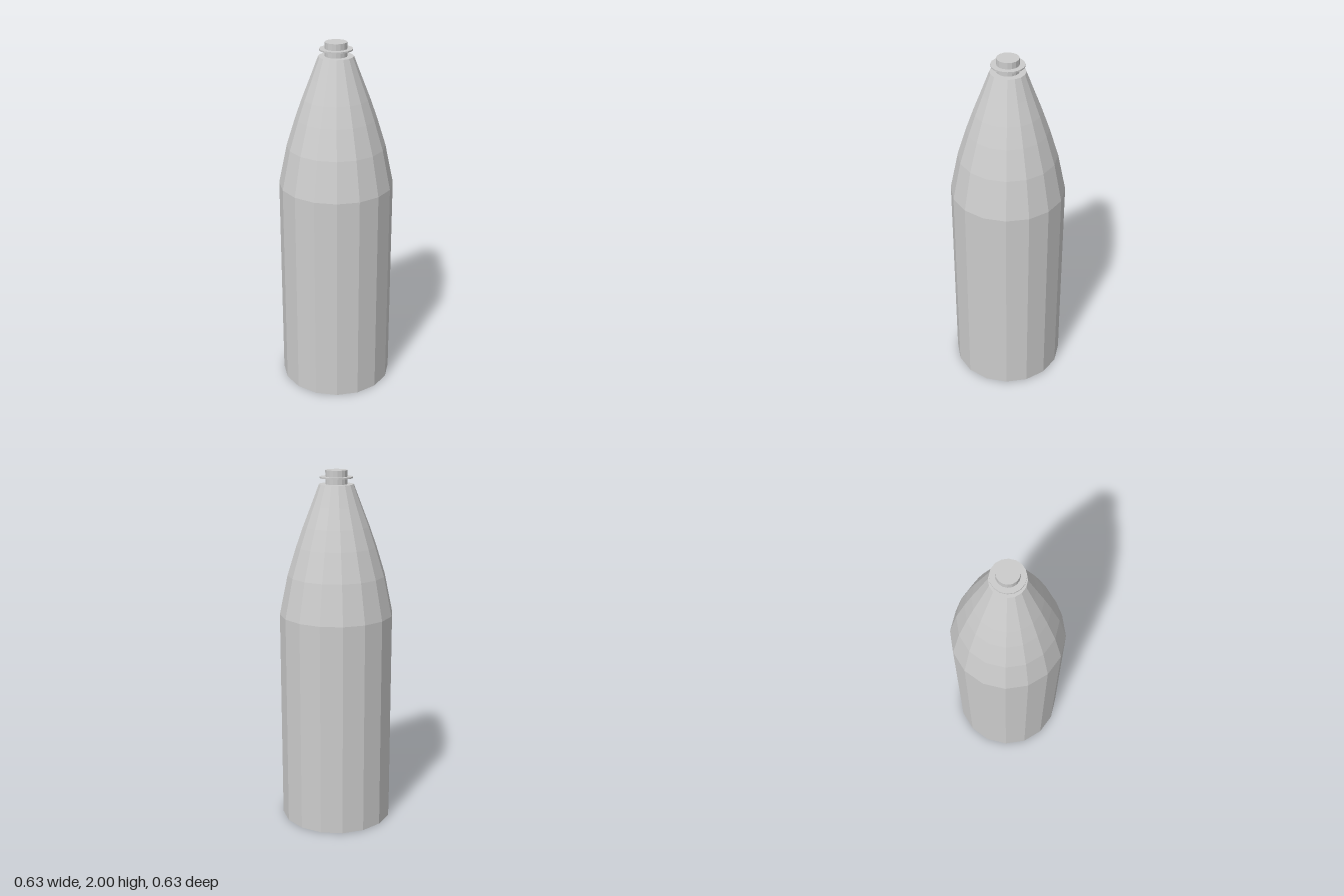
import * as THREE from 'three';

const SIDES = 16;
const grey = new THREE.MeshStandardMaterial({ color: 0xcccccc, flatShading: true });

// Faceted turned part from [radius, height] pairs, listed bottom to top
function turned(name, profile) {
  const points = profile.map(([r, y]) => new THREE.Vector2(r, y));
  const mesh = new THREE.Mesh(new THREE.LatheGeometry(points, SIDES), grey);
  mesh.name = name;
  return mesh;
}

export function createModel() {
  const group = new THREE.Group();
  group.name = 'bottle';

  // Body with a dished base, straight wall and curved shoulder
  group.add(turned('body', [
    [0, 0.07], [0.045, 0.07], [0.317, 0],
    [0.317, 1.21], [0.271, 1.43], [0.221, 1.59],
    [0.182, 1.7], [0.139, 1.81], [0.095, 1.925], [0, 1.925],
  ]));

  // Neck stub
  group.add(turned('neck', [[0.06, 1.925], [0.06, 2], [0, 2]]));

  // Thin collar around the neck
  group.add(turned('collar', [[0.06, 1.957], [0.09, 1.957], [0.09, 1.965], [0.06, 1.965]]));

  return group;
}
